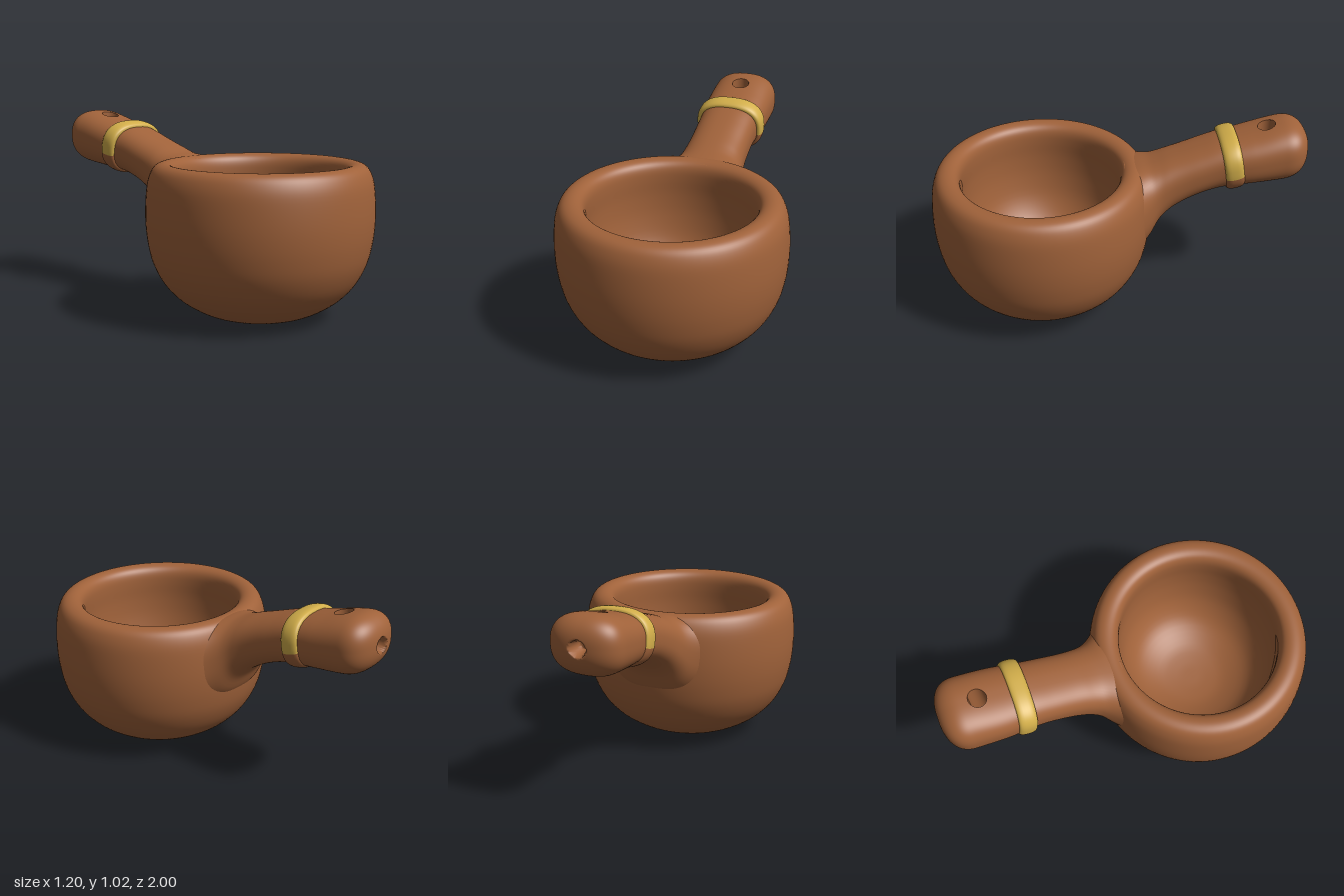
import * as THREE from 'three';

const N = 2.5;                       // roundness of the handle's cross-section
const HOLE_Z = -0.78, TIP_Z = -0.86, TIP_LEN = 0.14;

// Handle stations: distance towards the back, half width, underside, top
const stations = [
  [0.03, 0.36, 0.38, 0.795], [0.10, 0.27, 0.36, 0.81], [0.16, 0.215, 0.41, 0.82],
  [0.20, 0.19, 0.485, 0.832], [0.25, 0.176, 0.545, 0.85], [0.32, 0.168, 0.595, 0.873],
  [0.42, 0.166, 0.645, 0.907], [0.52, 0.168, 0.677, 0.94], [0.60, 0.176, 0.692, 0.957],
  [0.70, 0.185, 0.702, 0.982], [0.86, 0.187, 0.718, 1.022], [1.00, 0.187, 0.745, 1.03],
];
const spline = new THREE.CubicInterpolant(
  stations.map((s) => s[0]), stations.flatMap((s) => s.slice(1)), 3, new Float32Array(3));

function section(z) {
  const [w, low, high] = spline.evaluate(-z);
  return { w, c: (low + high) / 2, h: (high - low) / 2 };
}

const rounded = (v) => Math.sign(v) * Math.pow(Math.abs(v), 2 / N);

// Smooth surface from a grid of points; either direction may wrap around
function grid(rows, cols, wrapRows, wrapCols, point) {
  const pos = [], index = [];
  for (let i = 0; i < rows; i++) for (let j = 0; j < cols; j++) pos.push(...point(i, j));
  for (let i = 0; i < (wrapRows ? rows : rows - 1); i++) {
    for (let j = 0; j < (wrapCols ? cols : cols - 1); j++) {
      const i2 = (i + 1) % rows, j2 = (j + 1) % cols;
      const a = i * cols + j, b = i2 * cols + j, c = i2 * cols + j2, d = i * cols + j2;
      index.push(a, b, d, b, c, d);
    }
  }
  const g = new THREE.BufferGeometry();
  g.setAttribute('position', new THREE.Float32BufferAttribute(pos, 3));
  g.setIndex(index);
  g.computeVertexNormals();
  return g;
}

// Bowl: thick wall, rounded rim, hollow inside
function bowlGeometry() {
  const keys = [
    [0, 0.003], [0.12, 0.003], [0.2, 0.01], [0.29, 0.033], [0.375, 0.075], [0.45, 0.13], [0.515, 0.205],
    [0.563, 0.3], [0.588, 0.4], [0.599, 0.5], [0.599, 0.6], [0.59, 0.7], [0.572, 0.76], [0.548, 0.793],
    [0.515, 0.807], [0.48, 0.805], [0.452, 0.788], [0.437, 0.755], [0.434, 0.7], [0.437, 0.6],
    [0.428, 0.48], [0.395, 0.35], [0.32, 0.24], [0.2, 0.175], [0.09, 0.155], [0, 0.152],
  ].map(([x, y]) => new THREE.Vector2(x, y));
  const points = new THREE.SplineCurve(keys).getPoints(100);
  points.forEach((p) => { p.x = Math.max(p.x, 0); });
  return new THREE.LatheGeometry(points, 96).scale(1, 1, 0.975).translate(0, 0, 0.415);
}

// Handle shaft from the bowl wall to beneath the band
function shaftGeometry() {
  return grid(50, 64, false, true, (i, j) => {
    const z = -0.03 - 0.58 * i / 49, a = j / 64 * Math.PI * 2, s = section(z);
    return [s.w * rounded(Math.cos(a)), s.c + s.h * rounded(Math.sin(a)), z];
  });
}

// How far a point is towards the rounded outline of the handle end (1 = on it)
function edgeAmount(x, z) {
  const q = Math.max(0, (TIP_Z - z) / TIP_LEN);
  return Math.pow(Math.abs(x) / section(z).w, N) + Math.pow(q, N);
}

function holePoint(a) {
  return [0.049 * Math.cos(a), HOLE_Z + 0.046 * Math.sin(a)];
}

function surfaceY(x, z, side) {
  const s = section(z);
  return s.c + side * s.h * Math.pow(Math.max(0, 1 - edgeAmount(x, z)), 1 / N);
}

// Handle end: rays run from the hanging hole to the outline, above and below
function endGeometry() {
  const rays = 180, rings = 32;
  const outline = Array.from({ length: rays }, (_, i) => {
    const a = i / rays * Math.PI * 2;
    let lo = 0, hi = 0.4;
    for (let k = 0; k < 40; k++) {
      const r = (lo + hi) / 2, x = r * Math.cos(a), z = HOLE_Z + r * Math.sin(a);
      if (z < -0.585 && z > -1 && edgeAmount(x, z) < 1) lo = r; else hi = r;
    }
    return [lo * Math.cos(a), HOLE_Z + lo * Math.sin(a)];
  });
  return grid(rays, rings * 2 + 1, true, false, (i, j) => {
    const u = 1 - Math.abs(j - rings) / rings, t = 1 - Math.pow(1 - u, 3);
    const [hx, hz] = holePoint(i / rays * Math.PI * 2), [ox, oz] = outline[i];
    const x = hx + (ox - hx) * t;
    let z = hz + (oz - hz) * t;
    const y = j === rings && z < -0.6 ? section(z).c : surfaceY(x, z, j <= rings ? 1 : -1);
    // small socket in the tip
    if (z < -0.95) {
      const r = Math.hypot(x, y - 0.885);
      z += 0.09 * (1 - THREE.MathUtils.smoothstep(r, 0.03, 0.042));
    }
    return [x, y, z];
  });
}

function holeWallGeometry() {
  return grid(64, 2, true, false, (i, j) => {
    const [x, z] = holePoint(i / 64 * Math.PI * 2);
    return [x, surfaceY(x, z, j ? 1 : -1), z];
  });
}

// Raised band around the handle, tilted with its slope
function bandGeometry(from, to) {
  return grid(65, 24, false, true, (i, j) => {
    const a = from + (to - from) * i / 64, b = j / 24 * Math.PI * 2;
    const e = 0.022 * rounded(Math.cos(b)), s = 0.048 * rounded(Math.sin(b));
    const dy = (0.125 + e) * rounded(Math.sin(a));
    return [(0.175 + e) * rounded(Math.cos(a)), 0.826 + dy - s * 0.22, -0.592 + dy * 0.155 + s];
  });
}

export function createModel() {
  const clay = new THREE.MeshStandardMaterial({ color: 0xa0623a });
  clay.name = 'brown clay';
  const gold = new THREE.MeshStandardMaterial({ color: 0xd2ae4a });
  gold.name = 'gold glaze';

  const group = new THREE.Group();
  group.name = 'handledBowl';
  const add = (name, geometry, material) => {
    const mesh = new THREE.Mesh(geometry, material);
    mesh.name = name;
    group.add(mesh);
  };
  add('bowl', bowlGeometry(), clay);
  add('handleShaft', shaftGeometry(), clay);
  add('handleEnd', endGeometry(), clay);
  add('hangingHole', holeWallGeometry(), clay);
  add('bandTop', bandGeometry(-0.17, Math.PI + 0.17), gold);
  add('bandUnderside', bandGeometry(Math.PI + 0.17, Math.PI * 2 - 0.17), clay);
  return group;
}
